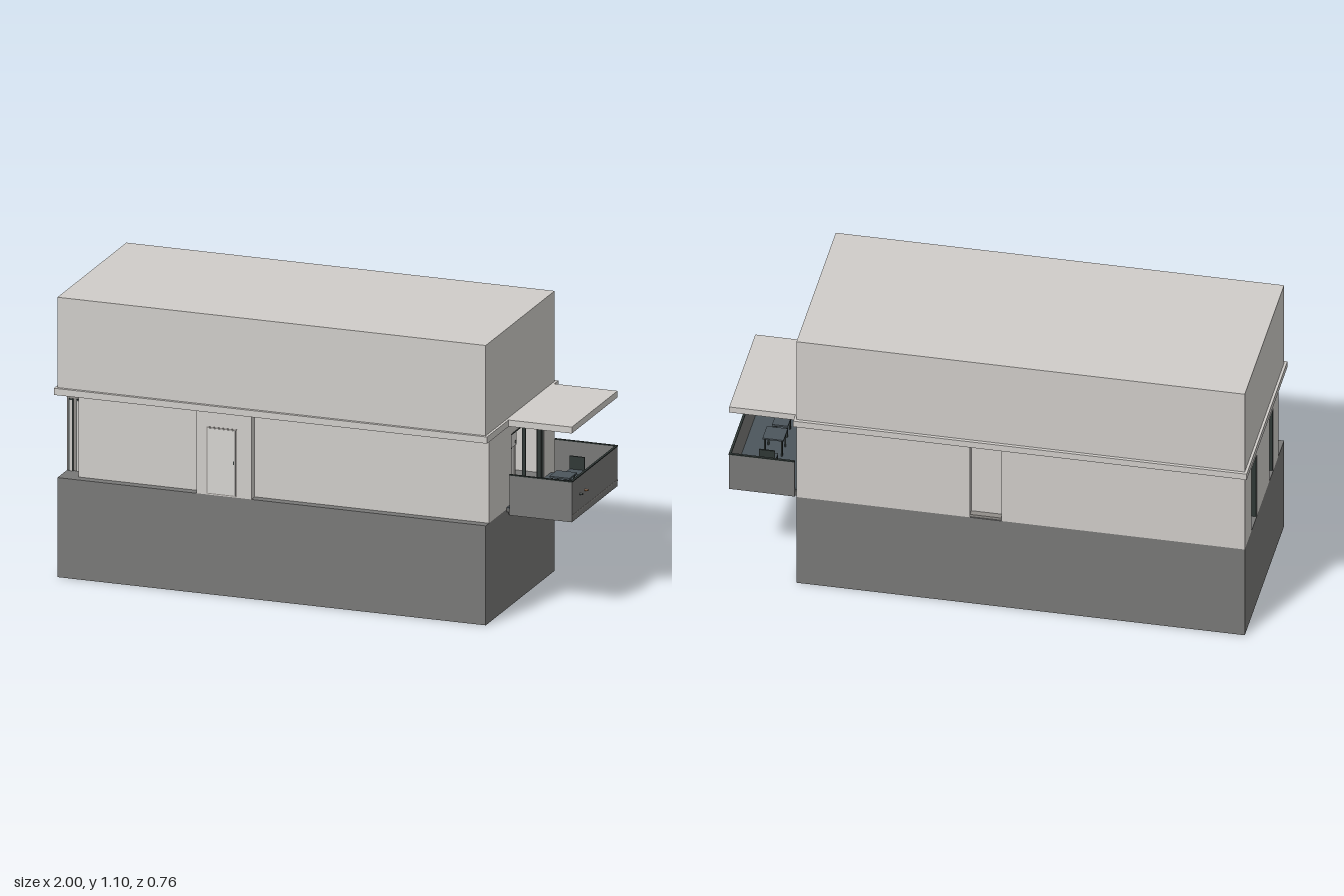
import * as THREE from 'three';

const mat = (name, color) => {
  const m = new THREE.MeshStandardMaterial({ color });
  m.name = name;
  return m;
};

export function createModel() {
  const root = new THREE.Group();
  root.name = 'house';
  const plaster = mat('pale plaster', 0xd0cdc9);
  const stone = mat('dark grey base', 0x787877);
  const frameMat = mat('charcoal frame', 0x2f3735);
  const trim = mat('mid grey trim', 0x908d89);
  const panel = mat('light panel', 0xd6d4d1);
  const under = mat('dark underside', 0x666664);
  const slate = mat('slate blue grey', 0x4c565c);
  const brass = mat('brass fitting', 0x8a5a30);

  // Box given by its limits on each axis
  const box = (name, m, x0, x1, y0, y1, z0, z1, parent = root) => {
    const mesh = new THREE.Mesh(new THREE.BoxGeometry(x1 - x0, y1 - y0, z1 - z0), m);
    mesh.position.set((x0 + x1) / 2, (y0 + y1) / 2, (z0 + z1) / 2);
    mesh.name = name;
    parent.add(mesh);
    return mesh;
  };
  const group = (name) => {
    const g = new THREE.Group();
    g.name = name;
    root.add(g);
    return g;
  };

  const L = -0.99, R = 0.722, Z = 0.365, F = 0.39, C = 0.717, T = 0.006;

  // Hollow base storey, open underneath
  const base = group('baseStorey');
  for (const s of [-1, 1]) {
    box('baseLongWall', stone, L, R, 0, F, s > 0 ? Z - T : -Z, s > 0 ? Z : -Z + T, base);
    const x = s > 0 ? R - T : L;
    box('baseEndWall', stone, x, x + T, 0, F, -Z + T, Z - T, base);
  }
  box('floorSlab', under, L + T, R - T, F - 0.025, F - 0.006, -Z + T, Z - T, base);
  box('floorTop', stone, L + T, R - T, F - 0.006, F, -Z + T, Z - T, base);

  // Raised outlines below the floor slab
  for (const [x0, x1] of [[-0.95, -0.34], [-0.14, 0.3]]) {
    const y0 = F - 0.033, y1 = F - 0.025, w = 0.02;
    for (const z of [-0.32, 0.3]) box('floorRib', trim, x0, x1, y0, y1, z, z + w, base);
    for (const x of [x0, x1 - w]) box('floorRib', trim, x, x + w, y0, y1, -0.3, 0.3, base);
  }

  // Upper storey and the band around its foot
  box('upperStorey', plaster, L, R, 0.743, 1.097, -Z, Z);
  box('band', plaster, -1, 0.732, C, 0.743, -0.378, 0.378);

  // Front wall set back from the base, with the entrance bay standing forward
  const front = group('frontWall');
  const t = 0.035, W = Z - t, n0 = -0.435, n1 = -0.215;
  box('frontWallLeftPart', plaster, -0.92, n0, F, C, W - 0.03, W, front);
  box('frontWallRightPart', plaster, n1, R, F, C, W - 0.03, W, front);
  box('entranceBay', plaster, n0, n1, F, C, W - 0.03, Z, front);
  box('doorFrame', trim, -0.394, -0.272, F + 0.004, 0.657, Z, Z + 0.002, front);
  box('doorLeaf', panel, -0.389, -0.278, F + 0.008, 0.652, Z + 0.002, Z + 0.004, front);
  box('doorHandle', frameMat, -0.286, -0.283, 0.52, 0.532, Z + 0.004, Z + 0.006, front);

  // Back wall with a recess
  const back = group('backWall');
  box('backWallPart', plaster, L, -0.06, F, C, -Z, -Z + t, back);
  box('backWallPart', plaster, 0.06, R, F, C, -Z, -Z + t, back);
  box('recessBack', plaster, -0.06, 0.06, F, C, -Z + 0.03, -Z + 0.04, back);
  box('recessSill', trim, -0.06, 0.06, F, F + 0.01, -Z + 0.005, -Z + 0.03, back);

  // Wall across x with a full-height opening
  const endWall = (name, x0, x1, zBack, zFront, o0, o1) => {
    const g = group(name);
    box('wallPart', plaster, x0, x1, F, C, zBack, o0, g);
    box('wallPart', plaster, x0, x1, F, C, o1, zFront, g);
    box('lintel', plaster, x0, x1, 0.67, C, o0, o1, g);
    const w = 0.007;
    for (const z of [o0, o1 - w]) box('frameUpright', frameMat, x0 + 0.002, x1 - 0.002, F, 0.67, z, z + w, g);
    box('frameHead', frameMat, x0 + 0.002, x1 - 0.002, 0.663, 0.67, o0, o1, g);
    return g;
  };

  // Left end, stopping short at a notched front corner
  const left = endWall('leftWall', L, L + 0.03, -Z + t, 0.26, -0.24, 0.17);
  box('leftCentrePanel', plaster, L, L + 0.02, F, 0.67, -0.14, 0.095, left);
  for (const z of [-0.145, 0.095]) box('panelEdge', frameMat, L + 0.002, L + 0.022, F, 0.663, z, z + 0.005, left);
  for (const [a, b] of [[-0.233, -0.145], [0.1, 0.163]])
    box('leftPane', trim, L + 0.02, L + 0.026, F, 0.663, a, b, left);
  box('notchBack', trim, L, -0.92, F, C, 0.255, 0.262, left);
  for (const x of [-0.974, -0.943]) {
    box('slotFrame', frameMat, x - 0.009, x + 0.009, F, 0.672, 0.262, 0.265, left);
    box('slotPane', plaster, x - 0.005, x + 0.005, F, 0.667, 0.265, 0.268, left);
  }
  box('notchSide', plaster, -0.92, -0.89, F, C, 0.255, W - 0.03, left);

  // Right end, opening onto the balcony
  const right = endWall('rightWall', R - 0.03, R, -Z + t, W - 0.03, -0.252, 0.092);
  for (const z of [-0.076, -0.241]) box('frameMullion', frameMat, R - 0.02, R - 0.006, F, 0.663, z, z + 0.006, right);
  box('innerWall', plaster, 0.42, 0.43, F, C, -Z + t, W - 0.03, right);
  box('wallCabinet', panel, 0.6, 0.68, 0.577, 0.662, -0.07, 0.08, right);
  box('lowerCabinet', panel, 0.6, 0.675, F, 0.574, -0.052, 0.08, right);
  box('cabinetSide', trim, 0.6, 0.675, F, 0.577, -0.075, -0.055, right);
  for (const z of [-0.005, 0.055])
    box('cabinetPull', frameMat, 0.68, 0.684, 0.576, 0.58, z - 0.01, z + 0.01, right);
  const knob = new THREE.Mesh(new THREE.TorusGeometry(0.006, 0.001, 6, 16), frameMat);
  knob.rotation.y = Math.PI / 2;
  knob.position.set(0.683, 0.592, -0.058);
  knob.name = 'cabinetKnob';
  right.add(knob);

  // Balcony tray and its canopy
  const bal = group('balcony');
  const b0 = 0.735, b1 = 0.985, z0 = -0.335, z1 = 0.15, p = 0.007, o = 0.002;
  box('canopy', plaster, b0 - 0.005, b1, 0.718, 0.743, z0, z1, bal);
  box('canopyLight', trim, 0.85, 0.87, 0.715, 0.718, -0.103, -0.083, bal);
  box('balconySlab', under, R, b1 - p, 0.38, 0.393, z0 + p, z1 - p, bal);
  box('balconyDeck', slate, R, b1 - p, 0.393, 0.397, z0 + p, z1 - p, bal);
  box('balconyJoint', trim, b1, b1 + 0.001, 0.391, 0.396, z0, z1, bal);
  box('parapetFront', stone, b1 - p, b1, 0.37, 0.526, z0, z1, bal);
  box('parapetInner', stone, b0 - 0.005, b0, 0.37, 0.395, z0 + p, z1 - p, bal);
  box('copingFront', frameMat, b1 - p, b1 + o, 0.526, 0.53, z0 - o, z1 + o, bal);
  for (const s of [0, 1]) {
    const z = s ? z1 - p : z0;
    box('parapetSide', stone, b0, b1 - p, 0.37, 0.526, z, z + p, bal);
    box('copingSide', frameMat, b0, b1 - p, 0.526, 0.53, s ? z : z - o, z + p + s * o, bal);
  }
  for (const z of [0.012, 0.066]) {
    const spout = new THREE.Mesh(new THREE.CylinderGeometry(0.004, 0.004, 0.014, 10), z < 0.05 ? brass : frameMat);
    spout.rotation.z = Math.PI / 2;
    spout.position.set(b1 + 0.006, 0.457, z);
    spout.name = 'spout';
    bal.add(spout);
  }

  // Balcony table and two chairs
  const legs = (name, x, z, r, h) => {
    for (const i of [-1, 1]) for (const j of [-1, 1])
      box(name, frameMat, x + i * r - 0.003, x + i * r + 0.003, 0.397, h, z + j * r - 0.003, z + j * r + 0.003, bal);
  };
  box('tableTop', slate, 0.82, 0.9, 0.468, 0.474, -0.13, -0.05, bal);
  legs('tableLeg', 0.86, -0.09, 0.032, 0.468);
  for (const s of [-1, 1]) {
    const z = -0.09 + s * 0.12;
    box('chairSeat', slate, 0.83, 0.89, 0.442, 0.449, z - 0.03, z + 0.03, bal);
    box('chairBack', frameMat, 0.83, 0.89, 0.449, 0.5, z + s * 0.03 - 0.003, z + s * 0.03 + 0.003, bal);
    legs('chairLeg', 0.86, z, 0.026, 0.442);
  }
  return root;
}
